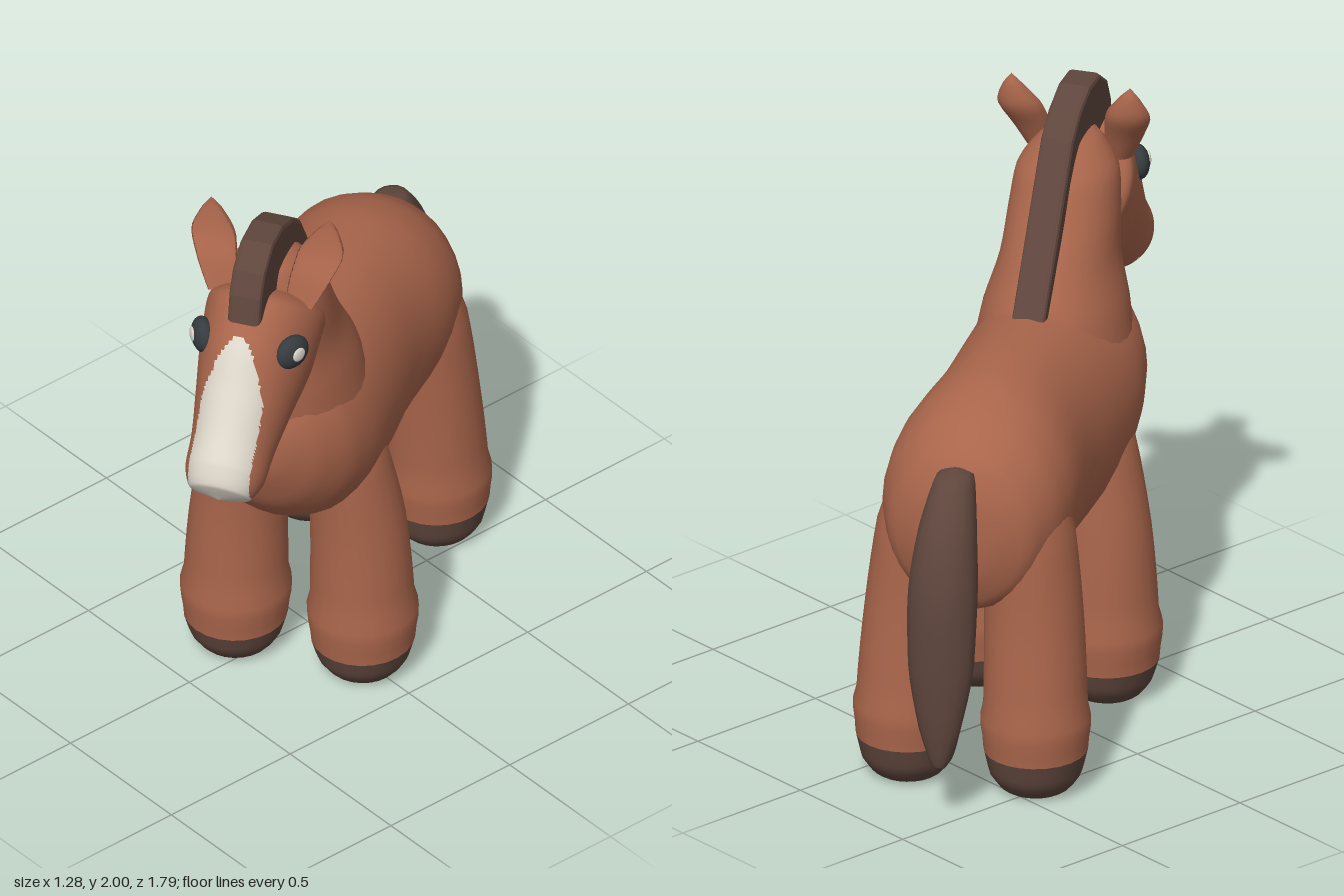
import * as THREE from 'three';

const mat = (name, color) => {
  const m = new THREE.MeshStandardMaterial({ color });
  m.name = name;
  return m;
};

// Smooth loft through elliptical rings [x, y, z, halfWidth, halfDepth].
// tilt turns the ring's depth axis from +y (0) to +z (PI / 2);
// rings run forward for tilt 0 and downward for tilt PI / 2.
function loft(rings, { tilt = Math.PI / 2, sides = 24, steps = 4, side = 1, dent = 1 } = {}) {
  const path = new THREE.CatmullRomCurve3(rings.map(r => new THREE.Vector3(r[0] * side, r[1], r[2])));
  const size = new THREE.CatmullRomCurve3(rings.map(r => new THREE.Vector3(r[3], r[4], 0)));
  const n = (rings.length - 1) * steps;
  const pos = [], idx = [];
  for (let i = 0; i <= n; i++) {
    const c = path.getPoint(i / n), s = size.getPoint(i / n);
    for (let j = 0; j < sides; j++) {
      const t = (j / sides) * Math.PI * 2;
      const u = Math.max(0, s.x) * Math.cos(t);
      const d = Math.max(0, s.y) * Math.sin(t) * (Math.sin(t) > 0 ? dent : 1);
      pos.push(c.x + u, c.y + d * Math.cos(tilt), c.z + d * Math.sin(tilt));
      if (i < n) {
        const k = (j + 1) % sides, a = i * sides, b = a + sides;
        idx.push(a + j, a + k, b + j, a + k, b + k, b + j);
      }
    }
  }
  const g = new THREE.BufferGeometry();
  g.setAttribute('position', new THREE.Float32BufferAttribute(pos, 3));
  g.setIndex(idx);
  g.computeVertexNormals();
  return g;
}

// Sorts triangles into two material groups by a test on their centre.
function splitFaces(g, test) {
  const p = g.attributes.position, idx = g.index.array, first = [], second = [];
  for (let i = 0; i < idx.length; i += 3) {
    const f = [idx[i], idx[i + 1], idx[i + 2]];
    const mid = get => (get(f[0]) + get(f[1]) + get(f[2])) / 3;
    const inside = test(mid(v => p.getX(v)), mid(v => p.getY(v)), mid(v => p.getZ(v)));
    (inside ? second : first).push(...f);
  }
  g.setIndex([...first, ...second]);
  g.addGroup(0, first.length, 0);
  g.addGroup(first.length, second.length, 1);
  return g;
}

export function createModel() {
  const coat = mat('chestnut coat', 0xa9654b);
  const dark = mat('dark brown hair', 0x5f463d);
  const white = mat('cream blaze', 0xdcd5c9);
  const black = mat('eye black', 0x353b3e);

  const horse = new THREE.Group();
  horse.name = 'horse';
  const add = (name, geo, m, parent = horse) => {
    const mesh = new THREE.Mesh(geo, m);
    mesh.name = name;
    parent.add(mesh);
    return mesh;
  };

  // Barrel, rump and chest
  add('torso', loft([
    [0, 0.95, -0.8, 0, 0],
    [0, 0.94, -0.785, 0.13, 0.15],
    [0, 0.93, -0.73, 0.24, 0.27],
    [0, 0.955, -0.6, 0.3, 0.335],
    [0, 0.97, -0.45, 0.31, 0.37],
    [0, 0.975, -0.2, 0.285, 0.385],
    [0, 0.98, 0.05, 0.295, 0.38],
    [0, 1.0, 0.25, 0.3, 0.36],
    [0, 1.05, 0.42, 0.27, 0.31],
    [0, 1.1, 0.54, 0.19, 0.23],
    [0, 1.13, 0.605, 0.09, 0.11],
    [0, 1.13, 0.62, 0, 0],
  ], { tilt: 0, sides: 32 }), coat);

  // Neck, from the poll down into the shoulders
  add('neck', loft([
    [0, 1.84, 0.47, 0, 0],
    [0, 1.82, 0.46, 0.09, 0.1],
    [0, 1.72, 0.43, 0.165, 0.16],
    [0, 1.6, 0.4, 0.18, 0.2],
    [0, 1.45, 0.345, 0.19, 0.25],
    [0, 1.3, 0.3, 0.23, 0.3],
    [0, 1.1, 0.27, 0.26, 0.32],
    [0, 0.9, 0.25, 0.2, 0.2],
  ], { sides: 32 }), coat);

  // Head with a blaze that runs over the nose and under the chin
  const head = loft([
    [0, 1.62, 0.36, 0, 0],
    [0, 1.62, 0.4, 0.13, 0.15],
    [0, 1.62, 0.5, 0.19, 0.235],
    [0, 1.52, 0.61, 0.18, 0.25],
    [0, 1.42, 0.74, 0.155, 0.2],
    [0, 1.33, 0.85, 0.135, 0.16],
    [0, 1.27, 0.93, 0.13, 0.135],
    [0, 1.23, 0.985, 0.1, 0.09],
    [0, 1.215, 1.0, 0, 0],
  ], { tilt: 0.72, sides: 96, steps: 10 });
  const inBlaze = (x, y, z) =>
    z > (y > 1.3 ? 0.7 : 0.86) && y < 1.71 &&
    Math.abs(x) < 0.103 * Math.sqrt(Math.min(1, (1.71 - y) / 0.2));
  add('head', splitFaces(head, inBlaze), [coat, white]);

  // Mane with forelock: flat crest along the neck
  const crest = new THREE.Shape([
    [0.01, 1.355], [0.12, 1.35], [0.28, 1.6], [0.42, 1.72], [0.62, 1.72], [0.73, 1.75],
    [0.715, 1.83], [0.68, 1.9], [0.6, 1.955], [0.5, 1.955], [0.4, 1.915], [0.32, 1.85],
  ].map(p => new THREE.Vector2(...p)));
  const mane = new THREE.ExtrudeGeometry(crest, {
    depth: 0.08, bevelEnabled: true, bevelThickness: 0.015, bevelSize: 0.015, bevelSegments: 2,
  });
  mane.translate(0, 0, -0.04).rotateY(-Math.PI / 2);
  add('mane', mane, dark);

  // Tail
  add('tail', loft([
    [0, 1.17, -0.77, 0, 0],
    [0, 1.15, -0.78, 0.06, 0.07],
    [0, 1.0, -0.86, 0.095, 0.095],
    [0, 0.8, -0.91, 0.115, 0.095],
    [0, 0.55, -0.93, 0.11, 0.08],
    [0, 0.33, -0.945, 0.07, 0.05],
    [0, 0.2, -0.95, 0.025, 0.02],
    [0, 0.18, -0.95, 0, 0],
  ], { sides: 16 }), dark);

  for (const side of [1, -1]) {
    const label = side > 0 ? 'left' : 'right';

    // Legs and hooves
    const legs = {
      Front: { x: 0.215, z: 0.165, top: 0.125, upper: [
        [0.13, 1.08, 0.2, 0.06, 0.08],
        [0.165, 0.88, 0.19, 0.13, 0.15],
        [0.2, 0.6, 0.17, 0.155, 0.16],
        [0.213, 0.3, 0.165, 0.168, 0.172],
      ] },
      Rear: { x: 0.215, z: -0.6, top: 0.14, upper: [
        [0.14, 1.15, -0.53, 0.08, 0.12],
        [0.175, 0.88, -0.55, 0.15, 0.17],
        [0.2, 0.6, -0.57, 0.16, 0.165],
        [0.213, 0.3, -0.595, 0.168, 0.172],
      ] },
    };
    for (const [end, { x, z, top, upper }] of Object.entries(legs)) {
      const rim = [x, top, z, 0.168, 0.172];
      add(label + end + 'Leg', loft([...upper, rim], { side }), coat);
      add(label + end + 'Hoof', loft([
        rim,
        [x, 0.06, z, 0.148, 0.152],
        [x, 0.004, z, 0.1, 0.1],
        [x, 0, z, 0, 0],
      ], { side }), dark);
    }

    // Cupped ears
    add(label + 'Ear', loft([
      [0.2, 2.0, 0.46, 0, 0],
      [0.195, 1.96, 0.47, 0.035, 0.03],
      [0.18, 1.88, 0.5, 0.075, 0.06],
      [0.155, 1.8, 0.54, 0.065, 0.055],
      [0.13, 1.71, 0.57, 0.045, 0.045],
    ], { side, sides: 20, dent: -0.15 }), coat);

    // Eyes with a highlight
    const eye = new THREE.Group();
    eye.name = label + 'Eye';
    eye.position.set(side * 0.15, 1.63, 0.7);
    eye.rotation.y = side * 1.05;
    horse.add(eye);
    const ball = new THREE.SphereGeometry(1, 20, 14);
    add('eyeball', ball, black, eye).scale.set(0.065, 0.058, 0.038);
    const glint = add('highlight', ball, white, eye);
    glint.scale.set(0.025, 0.025, 0.008);
    glint.position.set(0, 0.008, 0.035);
  }

  // The animal stands turned toward its left
  horse.rotation.y = THREE.MathUtils.degToRad(31.5);
  horse.position.set(0.021, 0, -0.013);
  const model = new THREE.Group();
  model.name = 'toyHorse';
  model.add(horse);
  return model;
}
